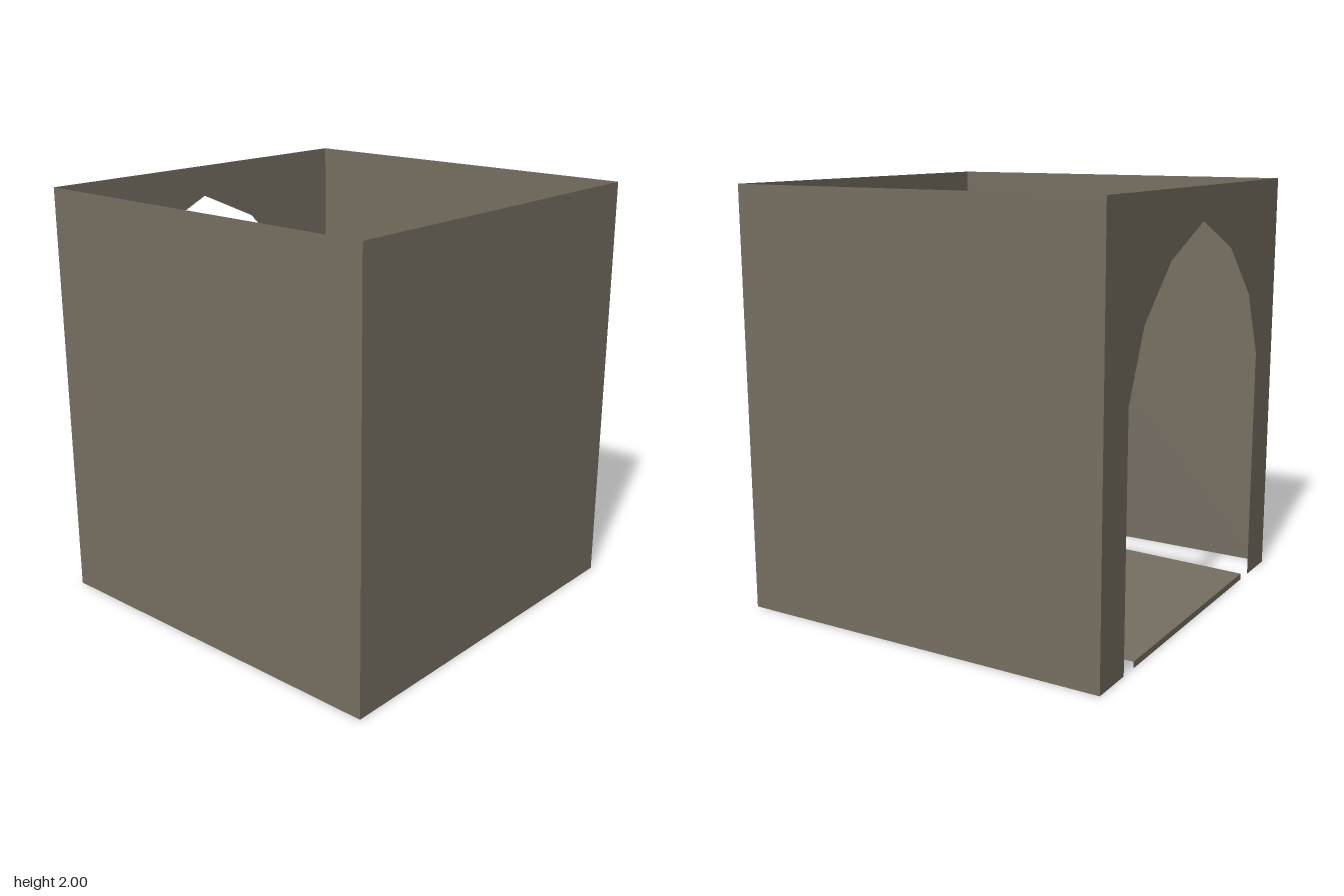
import * as THREE from 'three';

const H = 2, R = 0.923, FLOOR_Y = 0.03;

export function createModel() {
  const group = new THREE.Group();
  const stone = new THREE.MeshStandardMaterial({ color: 0x766f62, side: THREE.DoubleSide });
  stone.name = 'stone';

  const add = (name, geometry, x, y, z, rx = 0, ry = 0) => {
    const mesh = new THREE.Mesh(geometry, stone);
    mesh.name = name;
    mesh.position.set(x, y, z);
    mesh.rotation.set(rx, ry, 0);
    group.add(mesh);
  };

  // Plain front and side walls
  const wall = new THREE.PlaneGeometry(2 * R, H);
  add('frontWall', wall, 0, H / 2, R);
  add('leftWall', wall, R, H / 2, 0, 0, Math.PI / 2);
  add('rightWall', wall, -R, H / 2, 0, 0, -Math.PI / 2);

  // Back wall with a faceted arch open to the ground
  const half = [[0.708, 0], [0.708, 1.155], [0.577, 1.465], [0.33, 1.703]];
  const arch = [...half, [0, 1.847], ...half.map(([x, y]) => [-x, y]).reverse()];
  const outline = [[-R, 0], [-R, H], [R, H], [R, 0], ...arch];
  const backShape = new THREE.Shape(outline.map(([x, y]) => new THREE.Vector2(x, y)));
  add('backWall', new THREE.ShapeGeometry(backShape), 0, 0, -R, 0, Math.PI);
  group.children.at(-1).rotation.y = 0;

  // Tapered floor, narrower at the doorway
  const floorShape = new THREE.Shape([
    new THREE.Vector2(-0.71, -R), new THREE.Vector2(0.71, -R),
    new THREE.Vector2(0.615, R), new THREE.Vector2(-0.615, R),
  ]);
  add('floor', new THREE.ShapeGeometry(floorShape), 0, FLOOR_Y, 0, -Math.PI / 2);

  // Small step down at the doorway
  add('doorStep', new THREE.PlaneGeometry(1.23, FLOOR_Y), 0, FLOOR_Y / 2, -R, 0, Math.PI);

  return group;
}
